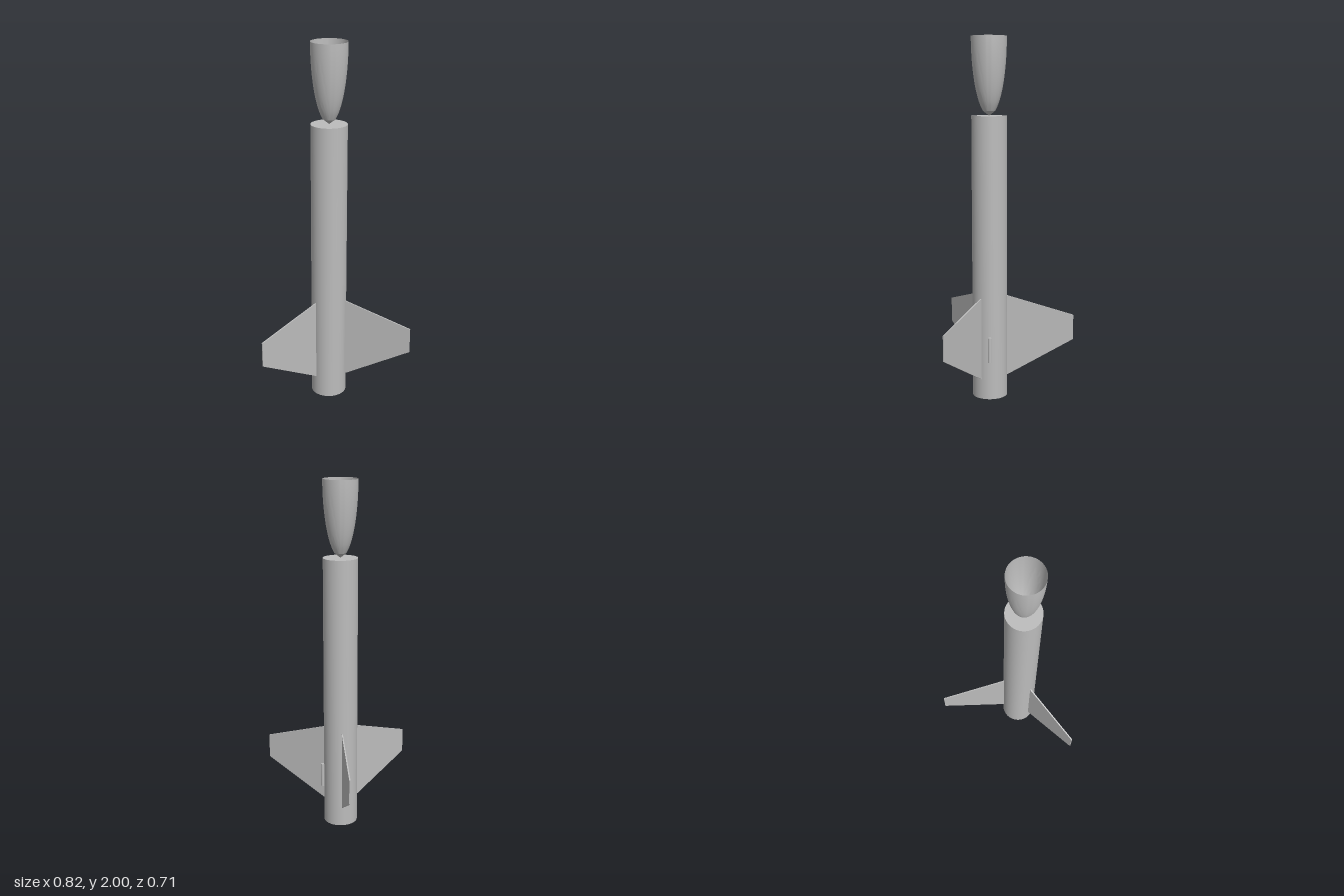
import * as THREE from 'three';
import { toCreasedNormals } from 'three/addons/utils/BufferGeometryUtils.js';

const RADIUS = 0.097;
const BODY_TOP = 1.575;
const AXIS_Z = 0.115; // the three fins push the body axis forward of centre

export function createModel() {
  const grey = new THREE.MeshStandardMaterial({ color: 0xbcbcbc });
  grey.name = 'plain grey';
  grey.side = THREE.DoubleSide;

  const rocket = new THREE.Group();
  rocket.name = 'rocket';
  rocket.position.z = AXIS_Z;

  const add = (name, geometry, x = 0, y = 0, z = 0) => {
    const mesh = new THREE.Mesh(geometry, grey);
    mesh.name = name;
    mesh.position.set(x, y, z);
    rocket.add(mesh);
    return mesh;
  };

  // Body tube, closed at both ends
  add('bodyTube', new THREE.CylinderGeometry(RADIUS, RADIUS, BODY_TOP, 64), 0, BODY_TOP / 2);

  // Hollow elliptical nose cone, tip down and open at the top
  const noseHeight = 2 - BODY_TOP;
  const steps = 16;
  const profile = [];
  for (let i = 0; i <= steps; i++) {
    const t = i / steps;
    profile.push(new THREE.Vector2(RADIUS * Math.sqrt(1 - (1 - t) ** 2), noseHeight * t));
  }
  add('noseCone', toCreasedNormals(new THREE.LatheGeometry(profile, 64), 0.4), 0, BODY_TOP);

  // Three tapered fins, the first one pointing straight back
  const thickness = 0.007;
  const outline = new THREE.Shape([
    new THREE.Vector2(RADIUS - 0.002, 0.112),
    new THREE.Vector2(0.47, 0.32),
    new THREE.Vector2(0.47, 0.46),
    new THREE.Vector2(RADIUS - 0.002, 0.575),
  ]);
  const finGeometry = new THREE.ExtrudeGeometry(outline, { depth: thickness, bevelEnabled: false });
  finGeometry.translate(0, 0, -thickness / 2);
  ['backFin', 'leftFin', 'rightFin'].forEach((name, i) => {
    add(name, finGeometry).rotation.y = Math.PI / 2 - (i * Math.PI * 2) / 3;
  });

  // Small launch lug on the left side
  add('launchLug', new THREE.CylinderGeometry(0.01, 0.01, 0.14, 24), RADIUS + 0.009, 0.287);

  const model = new THREE.Group();
  model.name = 'modelRocket';
  model.add(rocket);
  return model;
}
